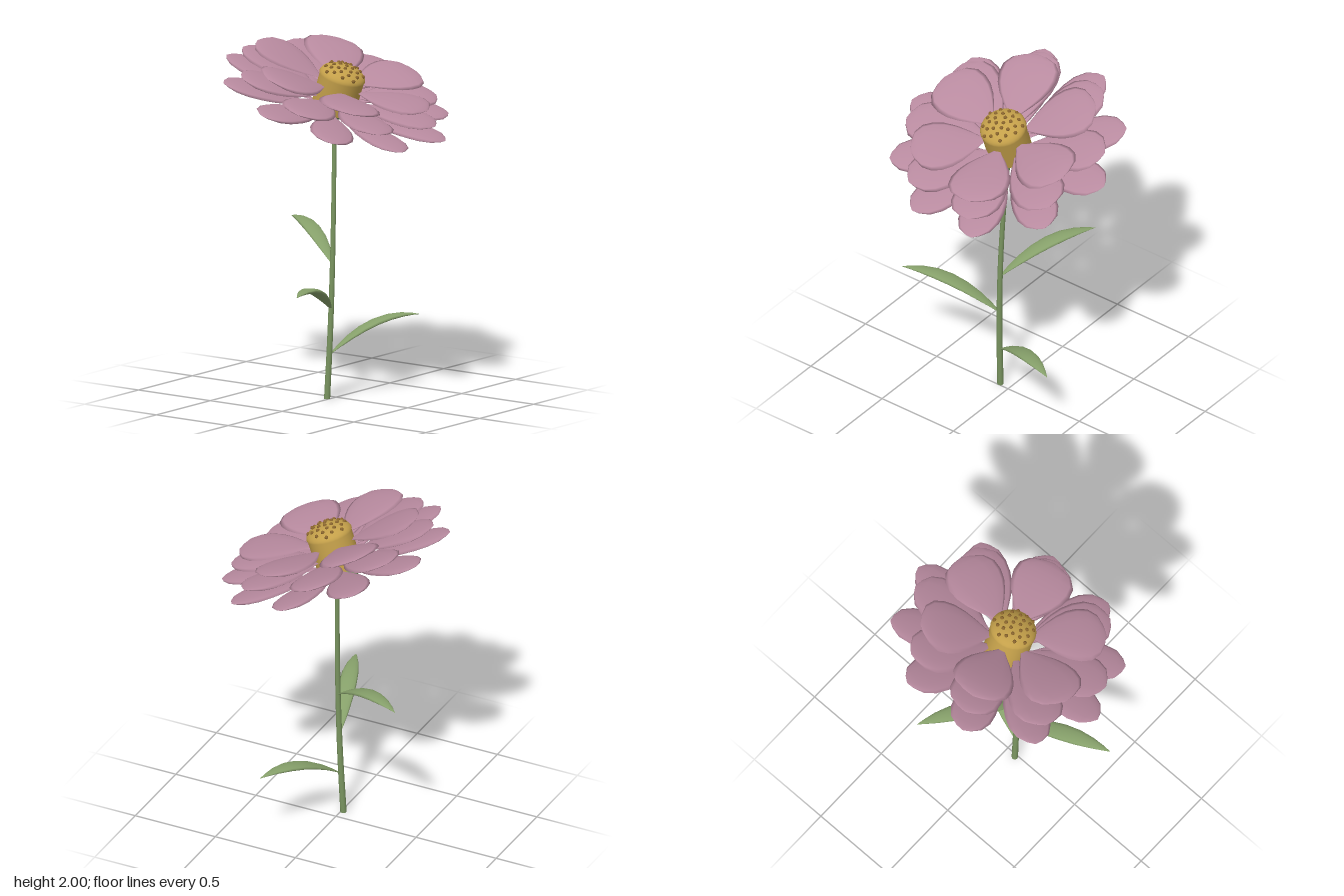
import * as THREE from 'three';

const mat = (name, color) => {
  const m = new THREE.MeshStandardMaterial({ color });
  m.name = name;
  return m;
};

// Lens-shaped blade along +x: stations are [t, half width], lift(t) bends it upwards
function blade(stations, start, length, width, thickness, lift, sides = 12) {
  const pos = [], index = [];
  stations.forEach(([t, w]) => {
    for (let j = 0; j < sides; j++) {
      const a = (j / sides) * Math.PI * 2;
      pos.push(
        start + t * length,
        lift(t) + Math.sin(a) * w * thickness / 2,
        Math.cos(a) * w * width / 2
      );
    }
  });
  for (let i = 0; i < stations.length - 1; i++) {
    for (let j = 0; j < sides; j++) {
      const k = (j + 1) % sides;
      const a = i * sides + j, b = i * sides + k, c = a + sides, d = b + sides;
      index.push(a, c, b, b, c, d);
    }
  }
  const g = new THREE.BufferGeometry();
  g.setAttribute('position', new THREE.Float32BufferAttribute(pos, 3));
  g.setIndex(index);
  g.computeVertexNormals();
  return g;
}

export function createModel() {
  const petalMat = mat('dusty pink', 0xb88a9f);
  const discMat = mat('golden yellow', 0xc4a04a);
  const seedMat = mat('seed brown', 0x8a652d);
  const stemMat = mat('stem green', 0x7a9560);
  const leafMat = mat('leaf green', 0x86a06a);
  const calyxMat = mat('calyx green', 0x779763);

  const model = new THREE.Group();
  model.name = 'flower';
  const add = (parent, name, geometry, material) => {
    const mesh = new THREE.Mesh(geometry, material);
    mesh.name = name;
    parent.add(mesh);
    return mesh;
  };

  // Stem: a gently bent tube, tapering upwards
  const path = new THREE.CatmullRomCurve3([
    [-0.064, 0, -0.014], [-0.057, 0.4, 0.004], [-0.046, 0.8, 0.011],
    [-0.028, 1.2, 0.006], [0, 1.62, -0.01],
  ].map((p) => new THREE.Vector3(...p)));
  const stemGeo = new THREE.TubeGeometry(path, 32, 1, 10);
  const p = stemGeo.attributes.position;
  for (let i = 0; i < p.count; i++) {
    const t = Math.floor(i / 11) / 32;
    const c = path.getPointAt(t);
    const v = new THREE.Vector3().fromBufferAttribute(p, i).sub(c);
    v.multiplyScalar(0.018 - 0.006 * t).add(c);
    p.setXYZ(i, v.x, Math.max(0, v.y), v.z);
  }
  add(model, 'stem', stemGeo, stemMat);
  const cap = add(model, 'stemBase', new THREE.CircleGeometry(0.018, 10), stemMat);
  cap.position.set(-0.064, 0.001, -0.014);
  cap.rotation.x = Math.PI / 2;

  // Leaves: base point and tip offset in x and z
  const leafShape = [[0, 0.12], [0.08, 0.38], [0.2, 0.7], [0.35, 0.92], [0.5, 1],
    [0.65, 0.92], [0.8, 0.65], [0.92, 0.3], [1, 0.01]];
  const leafLift = (t) => 0.44 * t - 0.27 * t * t;
  [
    [-0.05, 0.257, 0.002, 0.51, 0.24],
    [-0.055, 0.512, 0.006, -0.55, 0.175],
    [-0.046, 0.766, 0.01, 0.285, -0.5],
  ].forEach(([x, y, z, dx, dz]) => {
    const geo = blade(leafShape, 0, Math.hypot(dx, dz), 0.1, 0.034, leafLift);
    const leaf = add(model, 'leaf', geo, leafMat);
    leaf.position.set(x, y, z);
    leaf.rotation.y = Math.atan2(-dz, dx);
  });

  // Calyx: a flattened cup under the head
  const calyx = add(model, 'calyx', new THREE.SphereGeometry(1, 24, 14), calyxMat);
  calyx.scale.set(0.118, 0.046, 0.116);
  calyx.position.set(0, 1.627, -0.033);
  calyx.rotation.x = 0.1;

  // Flower head leans towards the front
  const head = new THREE.Group();
  head.name = 'flowerHead';
  head.position.y = 1.7;
  head.rotation.x = 0.325;
  model.add(head);

  const disc = add(head, 'discBody', new THREE.CylinderGeometry(0.128, 0.126, 0.2, 28), discMat);
  disc.position.y = 0.035;
  const dome = add(head, 'discDome',
    new THREE.SphereGeometry(1, 28, 10, 0, Math.PI * 2, 0, Math.PI / 2), discMat);
  dome.scale.set(0.132, 0.062, 0.132);
  dome.position.y = 0.134;

  // Seeds in a sunflower spiral over the dome
  const seedGeo = new THREE.SphereGeometry(0.011, 8, 6);
  for (let i = 0; i < 28; i++) {
    const r = 0.12 * Math.sqrt((i + 0.5) / 28), a = i * 2.39996;
    const seed = add(head, 'seed', seedGeo, seedMat);
    seed.position.set(r * Math.cos(a), 0.134 + 0.062 * Math.sqrt(1 - (r / 0.132) ** 2), r * Math.sin(a));
  }

  // Three shallow cups of petals rising outwards, wider and fewer towards the top
  const petalShape = [[0, 0.03], [0.1, 0.22], [0.22, 0.48], [0.36, 0.74], [0.5, 0.92],
    [0.64, 1], [0.78, 0.97], [0.9, 0.75], [0.97, 0.36], [1, 0.02]];
  const petalLift = (t) => -0.062 * (1 - t) ** 1.25;
  [
    { count: 10, radius: 0.673, width: 0.25, y: 0, turn: 0 },
    { count: 8, radius: 0.602, width: 0.3, y: 0.07, turn: 15 },
    { count: 6, radius: 0.532, width: 0.35, y: 0.14, turn: 45 },
  ].forEach(({ count, radius, width, y, turn }) => {
    const geo = blade(petalShape, 0.105, radius - 0.105, width, 0.036, petalLift);
    for (let i = 0; i < count; i++) {
      const petal = add(head, 'petal', geo, petalMat);
      petal.position.y = y;
      petal.rotation.y = THREE.MathUtils.degToRad(turn + (i * 360) / count);
    }
  });

  return model;
}
